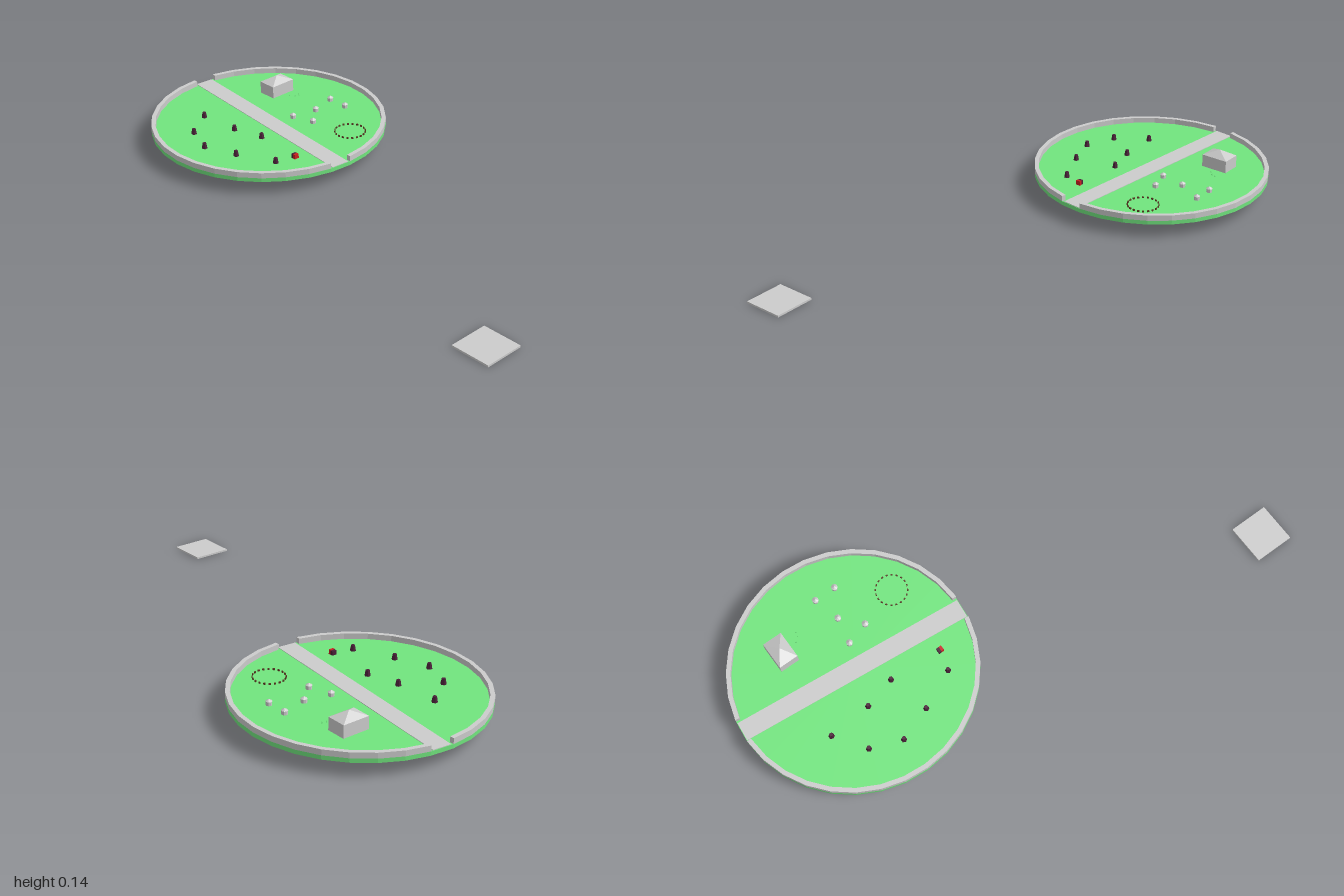
import * as THREE from 'three';

const CX = -0.56, CZ = -0.035, R = 0.44, SIDES = 32;
const GROUND = 0.068, STEP = (Math.PI * 2) / SIDES;

const paint = (color) => new THREE.MeshStandardMaterial({ color, flatShading: true });

export function createModel() {
  const model = new THREE.Group();
  const grey = paint(0xcccccc);
  const green = paint(0x71e57e);
  const plum = paint(0x4a2038);
  const red = paint(0xcc2020);
  const brown = paint(0x5a3a22);

  const add = (name, geometry, material, x, y, z, parent = model) => {
    const mesh = new THREE.Mesh(geometry, material);
    mesh.name = name;
    mesh.position.set(x, y, z);
    parent.add(mesh);
    return mesh;
  };

  // Round grassy base
  add('grassDisc', new THREE.CylinderGeometry(R, R, GROUND - 0.053, SIDES), green,
    CX, (GROUND + 0.053) / 2, CZ);

  // Two wall arcs, each leaving one facet open where the road leaves
  const wallArc = (first, last) => {
    const points = [];
    for (let i = first; i <= last; i++) {
      points.push(new THREE.Vector2(Math.cos(i * STEP) * R, Math.sin(i * STEP) * R));
    }
    for (let i = last; i >= first; i--) {
      points.push(new THREE.Vector2(Math.cos(i * STEP) * (R - 0.016), Math.sin(i * STEP) * (R - 0.016)));
    }
    const geometry = new THREE.ExtrudeGeometry(new THREE.Shape(points), { depth: 0.0205, bevelEnabled: false });
    return geometry.rotateX(Math.PI / 2);
  };
  add('frontWall', wallArc(1, 16), grey, CX, 0.0885, CZ);
  add('backWall', wallArc(17, 32), grey, CX, 0.0885, CZ);

  // Road through both openings
  const road = add('road', new THREE.BoxGeometry(0.872, 0.004, 0.07), grey, CX, GROUND, CZ);
  road.rotation.y = -STEP / 2;

  // House with a pyramid roof
  const house = new THREE.Group();
  house.name = 'house';
  house.position.set(-0.73, GROUND, -0.228);
  model.add(house);
  add('houseBody', new THREE.BoxGeometry(0.073, 0.047, 0.104), grey, 0, 0.0235, 0, house);
  const roof = new THREE.ConeGeometry(Math.SQRT1_2, 0.023, 4).rotateY(Math.PI / 4);
  roof.scale(0.073, 1, 0.104);
  add('houseRoof', roof, grey, 0, 0.0585, 0, house);

  // Small huts with pointed caps
  const hutBody = new THREE.CylinderGeometry(0.011, 0.011, 0.014, 8);
  const hutCap = new THREE.ConeGeometry(0.012, 0.008, 8);
  [[-0.525, -0.32], [-0.444, -0.32], [-0.499, -0.219], [-0.434, -0.145], [-0.518, -0.12]].forEach(([x, z]) => {
    add('hutBody', hutBody, grey, x, GROUND + 0.007, z);
    add('hutCap', hutCap, grey, x, GROUND + 0.018, z);
  });

  // Dark bushes on the front half
  const bush = new THREE.CylinderGeometry(0.007, 0.011, 0.021, 6);
  [[-0.757, 0.116], [-0.596, 0.104], [-0.478, 0.073], [-0.68, 0.229],
    [-0.565, 0.273], [-0.44, 0.229], [-0.299, 0.163]].forEach(([x, z]) => {
    add('bush', bush, plum, x, GROUND + 0.0105, z);
  });

  // Red marker post
  add('markerPost', new THREE.BoxGeometry(0.01, 0.016, 0.018), plum, -0.284, GROUND + 0.008, 0.088);
  add('markerFlag', new THREE.BoxGeometry(0.01, 0.017, 0.018), red, -0.274, GROUND + 0.0085, 0.088);

  // Ring of little stakes
  const stake = new THREE.BoxGeometry(0.004, 0.006, 0.007);
  const COUNT = 20;
  for (let i = 0; i < COUNT; i++) {
    const a = (i / COUNT) * Math.PI * 2;
    const mesh = add('ringStake', stake, brown,
      -0.286 + Math.cos(a) * 0.057, GROUND + 0.003, -0.195 + Math.sin(a) * 0.057);
    mesh.rotation.y = -a;
  }

  // Sprouts beside the house
  const sprout = new THREE.ConeGeometry(0.003, 0.007, 4);
  [[-0.665, -0.235], [-0.65, -0.25], [-0.645, -0.265]].forEach(([x, z]) => {
    add('sprout', sprout, green, x, GROUND + 0.0035, z);
  });

  // Separate flat slab
  add('slab', new THREE.BoxGeometry(0.148, 0.007, 0.148), grey, 0.926, 0.0035, 0.403);

  return model;
}
